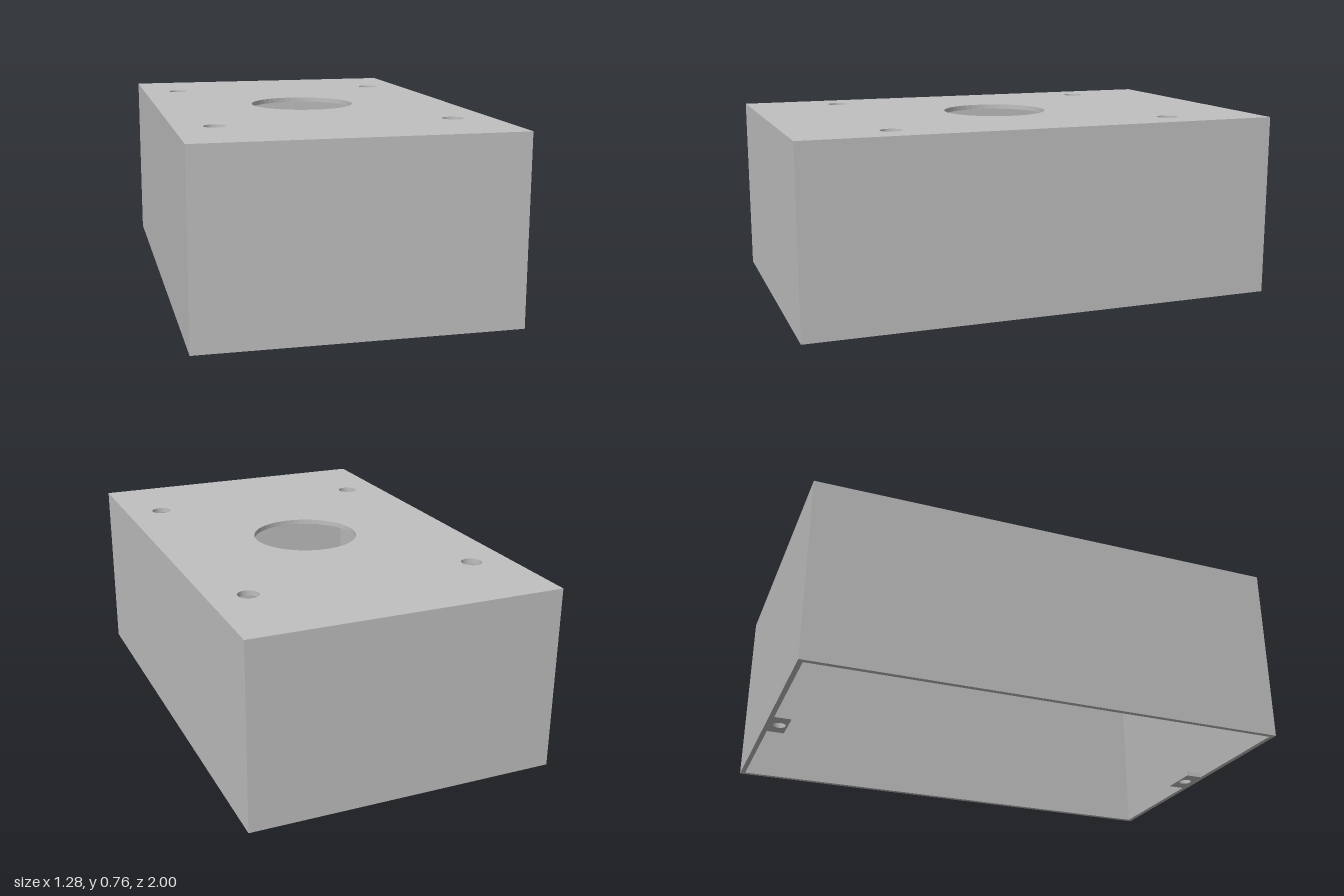
import * as THREE from 'three';

const W = 1.28, H = 0.76, D = 2, T = 0.02; // outer size and sheet thickness

const rect = (Type, w, d) => {
  const [x, y] = [w / 2, d / 2];
  return new Type([[-x, -y], [x, -y], [x, y], [-x, y]].map(p => new THREE.Vector2(...p)));
};

const hole = (x, y, r) => new THREE.Path().absarc(x, y, r, 0, Math.PI * 2, true);

// Extrudes a plan shape upward from y = base
const slab = (shape, base, height) =>
  new THREE.ExtrudeGeometry(shape, { depth: height, bevelEnabled: false, curveSegments: 24 })
    .rotateX(-Math.PI / 2)
    .translate(0, base, 0);

export function createModel() {
  const group = new THREE.Group();
  const metal = new THREE.MeshStandardMaterial({ color: 0xc0c0c0 });
  metal.name = 'grey sheet metal';

  const add = (name, geometry) => {
    const mesh = new THREE.Mesh(geometry, metal);
    mesh.name = name;
    group.add(mesh);
    return mesh;
  };

  // Four side walls, open at the bottom
  const ring = rect(THREE.Shape, W, D);
  ring.holes.push(rect(THREE.Path, W - 2 * T, D - 2 * T));
  add('sideWalls', slab(ring, 0, H - T));

  // Top panel with a central opening and four corner screw holes
  const top = rect(THREE.Shape, W, D);
  top.holes.push(hole(0, 0, 0.222));
  for (const x of [-0.48, 0.48]) {
    for (const y of [-0.6, 0.6]) top.holes.push(hole(x, y, 0.0425));
  }
  add('topPanel', slab(top, H - T, T));

  // Drilled mounting tabs at the bottom of the end walls
  const tab = rect(THREE.Shape, 0.16, 0.07);
  tab.holes.push(hole(0, 0, 0.027));
  for (const [name, side] of [['frontTab', 1], ['backTab', -1]]) {
    add(name, slab(tab, 0, T)).position.z = side * (D / 2 - T - 0.035);
  }
  return group;
}
